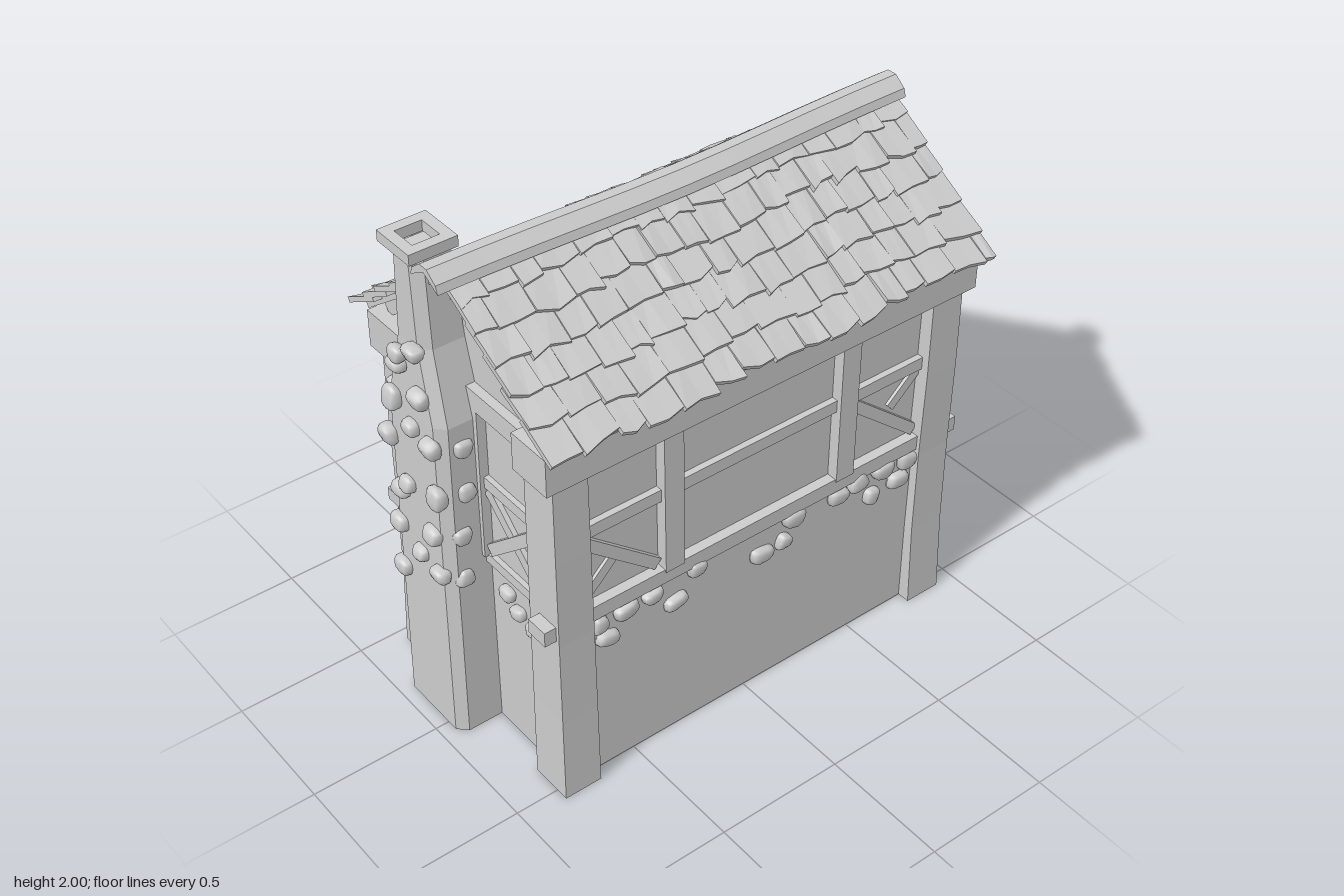
import * as THREE from 'three';
import { mergeGeometries } from 'three/addons/utils/BufferGeometryUtils.js';

const flat = new THREE.MeshStandardMaterial({ color: 0xcccccc, flatShading: true, side: THREE.DoubleSide });
const smooth = new THREE.MeshStandardMaterial({ color: 0xcccccc });

let seed = 7;
const rnd = () => (seed = (seed * 16807) % 2147483647) / 2147483647;
const jit = (a) => (rnd() * 2 - 1) * a;

function add(parent, name, geo, mat = flat) {
  const m = new THREE.Mesh(geo, mat);
  m.name = name;
  parent.add(m);
  return m;
}

// Box given by its limits
function box(parent, name, x0, x1, y0, y1, z0, z1) {
  const g = new THREE.BoxGeometry(x1 - x0, y1 - y0, z1 - z0);
  g.translate((x0 + x1) / 2, (y0 + y1) / 2, (z0 + z1) / 2);
  return add(parent, name, g);
}

// Timber lying on a wall, from (u0,v0) to (u1,v1) in wall coordinates
function bar(wall, name, u0, v0, u1, v1, width = 0.05, depth = 0.03) {
  const len = Math.hypot(u1 - u0, v1 - v0);
  const m = add(wall, name, new THREE.BoxGeometry(len, width, depth + 0.02));
  m.position.set((u0 + u1) / 2, (v0 + v1) / 2, depth / 2 - 0.01);
  m.rotation.z = Math.atan2(v1 - v0, u1 - u0);
}

// Rounded, slightly irregular field stone
function stone(parent, x, y, z, sx, sy, sz) {
  const g = new THREE.SphereGeometry(1, 10, 8);
  const p = g.attributes.position;
  const k = [jit(0.25), jit(0.25), jit(0.2)];
  const f = (v) => Math.sign(v) * Math.pow(Math.abs(v), 0.7);
  for (let i = 0; i < p.count; i++) {
    const a = f(p.getX(i)), b = f(p.getY(i)), c = f(p.getZ(i));
    p.setXYZ(i, a * (1 + k[0] * b), b * (1 + k[1] * a), c * (1 + k[2] * b));
  }
  g.scale(sx, sy, sz);
  g.computeVertexNormals();
  const m = add(parent, 'stone', g, smooth);
  m.position.set(x, y, z);
  m.rotation.z = jit(0.25);
}

function rectHole(shape, x0, x1, y0, y1) {
  const h = new THREE.Path();
  h.moveTo(x0, y0).lineTo(x0, y1).lineTo(x1, y1).lineTo(x1, y0).closePath();
  shape.holes.push(h);
}

// Thin wall panel in its own group; local +z points outward
function makeWall(parent, name, pts, pos, rotY, holes = []) {
  const wall = new THREE.Group();
  wall.name = name;
  wall.position.set(...pos);
  wall.rotation.y = rotY;
  const s = new THREE.Shape(pts.map((p) => new THREE.Vector2(...p)));
  holes.forEach((h) => rectHole(s, ...h));
  add(wall, 'plaster', new THREE.ShapeGeometry(s));
  parent.add(wall);
  return wall;
}

// Slightly crooked corner post, open at the ends
function post(parent, x0, x1, z0, z1, sx, sz) {
  const g = new THREE.CylinderGeometry(Math.SQRT1_2, Math.SQRT1_2, 1.4, 4, 4, true);
  g.rotateY(Math.PI / 4);
  g.scale(x1 - x0, 1, z1 - z0);
  const p = g.attributes.position;
  for (let i = 0; i < p.count; i++) {
    const t = (p.getY(i) + 0.7) / 1.4;
    const k = 1 - 0.1 * t;
    p.setX(i, p.getX(i) * k - sx * 0.004 * Math.sin(t * 5));
    p.setZ(i, p.getZ(i) * k - sz * (0.015 * t + 0.006 * Math.sin(t * 5)));
  }
  g.translate((x0 + x1) / 2, 0.7, (z0 + z1) / 2);
  add(parent, 'cornerPost', g);
}

// Irregular shingles on one slope; local z runs down the slope
function shingles() {
  const parts = [];
  const rows = 6, step = 0.114, L = 0.68;
  for (let r = 0; r < rows; r++) {
    let x = -0.925;
    while (x < 0.92) {
      let w = 0.08 + rnd() * 0.07;
      if (x + w > 0.88) w = 0.925 - x;
      const low = L - r * step + 0.012 * Math.sin(x * 9 + r * 0.4);
      const len = Math.min(0.17, low);
      const g = new THREE.BoxGeometry(w - 0.002, 0.02, len, 2, 1, 1);
      const p = g.attributes.position;
      const e = [jit(0.016), jit(0.01), jit(0.016)];
      const lift = [jit(0.005), jit(0.003), jit(0.005)];
      for (let i = 0; i < p.count; i++) {
        const c = Math.round(p.getX(i) / w * 2) + 1;
        if (p.getZ(i) > 0) p.setXYZ(i, p.getX(i), p.getY(i) + lift[c], p.getZ(i) + e[c]);
      }
      g.rotateX(-0.13 + jit(0.02));
      g.rotateY(jit(0.025));
      g.translate(x + w / 2, 0.017 + jit(0.004), low - len / 2);
      parts.push(g);
      x += w;
    }
  }
  return mergeGeometries(parts);
}

// Chimney body from chamfered sections [y, x0, x1, z0, z1]
function chimneyBody(secs) {
  const pos = [], idx = [];
  secs.forEach(([y, x0, x1, z0, z1]) => {
    const c = 0.035;
    [[x1, z0], [x1, z1], [x0 + c, z1], [x0, z1 - c], [x0, z0 + c], [x0 + c, z0]]
      .forEach(([x, z]) => pos.push(x, y, z));
  });
  for (let s = 0; s < secs.length - 1; s++) for (let i = 0; i < 6; i++) {
    const a = s * 6 + i, b = s * 6 + (i + 1) % 6;
    idx.push(a, b, b + 6, a, b + 6, a + 6);
  }
  const g = new THREE.BufferGeometry();
  g.setAttribute('position', new THREE.Float32BufferAttribute(pos, 3));
  g.setIndex(idx);
  g.computeVertexNormals();
  return g;
}

export function createModel() {
  const house = new THREE.Group();
  house.name = 'house';

  // Walls: front, back with door and windows, two gables
  const rect = (a, b) => [[a, 0], [b, 0], [b, 1.42], [a, 1.42]];
  const gable = (c) => [[c - 0.44, 0], [c + 0.44, 0], [c + 0.44, 1.55], [c, 1.875], [c - 0.44, 1.55]];
  const front = makeWall(house, 'frontWall', rect(-0.77, 0.86), [0, 0, 0.48], 0);
  const windows = [[-0.55, -0.41], [0.32, 0.46]];
  const back = makeWall(house, 'backWall', rect(-0.86, 0.77), [0, 0, -0.38], Math.PI,
    [[-0.13, 0.07, 0.76, 1.36], ...windows.map(([a, b]) => [a, b, 0.96, 1.2])]);
  const sideR = makeWall(house, 'leftGable', gable(-0.05), [0.86, 0, 0], Math.PI / 2);
  const sideL = makeWall(house, 'rightGable', gable(0.05), [-0.77, 0, 0], -Math.PI / 2);

  // Stone-plinth faces below the sill
  box(front, 'lowerWall', -0.77, 0.86, 0, 0.74, 0.01, 0.02);
  box(back, 'lowerWall', -0.86, 0.77, 0, 0.74, 0.01, 0.02);

  // Corner posts, wall plates and projecting sills
  for (const [x0, x1, sx] of [[-0.83, -0.68, -1], [0.77, 0.92, 1]]) {
    post(house, x0, x1, 0.38, 0.55, sx, 1);
    post(house, x0, x1, -0.45, -0.28, sx, -1);
  }
  box(house, 'frontPlate', -0.86, 0.96, 1.365, 1.51, 0.37, 0.55);
  box(house, 'backPlate', -0.86, 0.96, 1.365, 1.51, -0.45, -0.26);
  box(house, 'frontSill', -0.87, 0.96, 0.72, 0.78, 0.43, 0.52);
  box(house, 'backSill', -0.87, 0.96, 0.73, 0.78, -0.41, -0.33);

  // Front framing
  bar(front, 'stud', -0.335, 0.77, -0.345, 1.38, 0.08, 0.045);
  bar(front, 'stud', 0.42, 0.77, 0.42, 1.38, 0.08, 0.045);
  bar(front, 'rail', -0.72, 1.095, 0.8, 1.095, 0.05, 0.025);
  bar(front, 'brace', -0.69, 1.05, -0.39, 0.8, 0.045, 0.02);
  bar(front, 'brace', -0.69, 0.8, -0.56, 0.93, 0.04, 0.012);
  bar(front, 'brace', 0.47, 1.05, 0.77, 0.8, 0.045, 0.02);
  bar(front, 'brace', 0.65, 0.95, 0.77, 1.06, 0.04, 0.012);

  // Gable framing: rails, studs, crossed braces and rafters
  for (const [w, c] of [[sideR, -0.05], [sideL, 0.05]]) {
    bar(w, 'sideSill', c - 0.36, 0.755, c + 0.36, 0.755, 0.04, 0.02);
    bar(w, 'rail', c - 0.36, 1.09, c + 0.36, 1.09, 0.045, 0.02);
    bar(w, 'tieBeam', c - 0.4, 1.425, c + 0.4, 1.425, 0.08, 0.035);
    bar(w, 'stud', c, 0.77, c, 1.4, 0.08, 0.035);
    for (const s of [-1, 1]) {
      bar(w, 'brace', c + s * 0.05, 0.8, c + s * 0.34, 1.06, 0.045, 0.022);
      bar(w, 'brace', c + s * 0.05, 1.06, c + s * 0.34, 0.8, 0.045, 0.018);
      bar(w, 'gableRafter', c + s * 0.46, 1.525, c, 1.86, 0.07, 0.04);
    }
  }

  // Back framing, barred windows and recessed door
  for (const [a, b, n] of [[-0.78, -0.2, 4], [0.14, 0.7, 4]]) {
    bar(back, 'rail', a, 0.91, b, 0.91, 0.04, 0.03);
    bar(back, 'rail', a, 1.23, b, 1.23, 0.04, 0.03);
    for (let i = 0; i <= n; i++) {
      const u = a + ((b - a) * i) / n;
      bar(back, 'shortStud', u, 0.78, u, 0.91, 0.035, 0.025);
      bar(back, 'shortStud', u, 1.23, u, 1.38, 0.035, 0.025);
    }
    bar(back, 'brace', a, 0.95, a + 0.14, 1.1, 0.035, 0.012);
    bar(back, 'brace', b, 0.95, b - 0.1, 1.08, 0.035, 0.012);
  }
  for (const [a, b] of windows) {
    for (const u of [a - 0.015, b + 0.015]) bar(back, 'windowJamb', u, 0.92, u, 1.22, 0.03, 0.02);
    for (let i = 1; i < 4; i++) bar(back, 'windowBar', a + (b - a) * i / 4, 0.96, a + (b - a) * i / 4, 1.2, 0.012, 0);
    for (let i = 1; i < 5; i++) bar(back, 'windowBar', a, 0.96 + 0.048 * i, b, 0.96 + 0.048 * i, 0.012, 0);
    box(back, 'windowPane', a - 0.02, b + 0.02, 0.94, 1.22, -0.06, -0.05);
  }
  bar(back, 'doorPost', -0.165, 0.76, -0.165, 1.4, 0.09, 0.06);
  bar(back, 'doorPost', 0.1, 0.76, 0.1, 1.4, 0.08, 0.06);
  box(back, 'door', -0.14, 0.08, 0.74, 1.38, -0.12, -0.1);
  box(back, 'threshold', -0.14, 0.08, 0.74, 0.765, -0.11, 0.04);
  for (const x of [-0.14, 0.06]) box(back, 'doorReveal', x, x + 0.02, 0.76, 1.38, -0.11, 0.01);

  // Steps on tall stilts
  for (const [y, z0, z1] of [[0.74, -0.52, -0.42], [0.695, -0.57, -0.49], [0.645, -0.62, -0.565]])
    box(house, 'stepTread', -0.09, 0.19, y - 0.03, y, z0, z1);
  for (const [z, h] of [[-0.46, 0.72], [-0.495, 0.72], [-0.55, 0.67], [-0.598, 0.62]])
    for (const x of [-0.055, 0.155]) box(house, 'stepLeg', x - 0.018, x + 0.018, 0, h, z - 0.016, z + 0.016);

  // Stones under the sills
  const F = [[-0.64, 0.68], [-0.61, 0.6], [-0.53, 0.68], [-0.42, 0.68], [-0.32, 0.6], [-0.23, 0.7], [0.06, 0.6],
    [0.16, 0.61], [0.2, 0.69], [0.41, 0.68], [0.5, 0.7], [0.57, 0.6], [0.62, 0.69], [0.7, 0.61], [0.74, 0.68]];
  for (const [x, y] of F) {
    stone(front, x, y, 0.025, 0.032 + rnd() * 0.02, 0.026 + rnd() * 0.012, 0.028);
    stone(back, x - 0.04, y, 0.025, 0.032 + rnd() * 0.02, 0.026 + rnd() * 0.012, 0.028);
  }
  const S = [[0.36, 0.73], [0.33, 0.6], [0.24, 0.61], [0.18, 0.66], [0.1, 0.6], [0.1, 0.74], [0.01, 0.67],
    [-0.08, 0.58], [-0.14, 0.7], [-0.25, 0.72], [-0.26, 0.64], [-0.25, 0.58]];
  for (const [z, y] of S) {
    stone(sideR, -z, y, 0.01, 0.026 + rnd() * 0.018, 0.02 + rnd() * 0.01, 0.025);
    if (z > 0.12) stone(sideL, z, y, 0.01, 0.036, 0.026, 0.025);
  }

  // Roof: boards and shingles on both slopes
  for (const s of [1, -1]) {
    const turn = new THREE.Group();
    turn.name = s > 0 ? 'frontSlope' : 'backSlope';
    turn.position.set(0.045, 1.91, 0.05);
    turn.rotation.y = s > 0 ? 0 : Math.PI;
    const slope = new THREE.Group();
    slope.rotation.x = 0.64;
    turn.add(slope);
    box(slope, 'roofBoards', -0.89, 0.89, -0.02, 0.005, 0, 0.655);
    add(slope, 'shingles', shingles());
    house.add(turn);
  }

  // Slightly sagging ridge cap
  const cap = new THREE.Shape([[-0.075, -0.06], [-0.065, -0.03], [-0.02, 0.005], [0.02, 0.005], [0.065, -0.03], [0.075, -0.06], [0, -0.015]]
    .map((p) => new THREE.Vector2(...p)));
  const ridge = new THREE.ExtrudeGeometry(cap, { depth: 1.915, steps: 10, bevelEnabled: false });
  ridge.rotateY(Math.PI / 2);
  const rp = ridge.attributes.position;
  for (let i = 0; i < rp.count; i++) {
    const t = rp.getX(i) / 1.915 * 2 - 1;
    rp.setY(i, rp.getY(i) + 0.01 * t * t);
    rp.setZ(i, rp.getZ(i) + 0.008 * Math.cos(t * 4));
  }
  add(house, 'ridgeCap', ridge).position.set(-0.93, 1.96, 0.05);

  // Chimney with hollow cap and scattered stones
  const chimney = new THREE.Group();
  chimney.name = 'chimney';
  add(chimney, 'chimneyStack', chimneyBody([[0, -0.945, -0.74, -0.26, 0.08], [1.35, -0.935, -0.74, -0.25, 0.07],
    [1.62, -0.925, -0.77, -0.18, 0], [1.97, -0.925, -0.79, -0.165, -0.015]]));
  const top = new THREE.Shape([[-0.09, -0.09], [0.09, -0.09], [0.09, 0.09], [-0.09, 0.09]].map((p) => new THREE.Vector2(...p)));
  rectHole(top, -0.05, 0.05, -0.05, 0.05);
  const capGeo = new THREE.ExtrudeGeometry(top, { depth: 0.04, bevelEnabled: false });
  capGeo.rotateX(-Math.PI / 2);
  add(chimney, 'chimneyCap', capGeo).position.set(-0.86, 1.96, -0.09);
  box(chimney, 'flueFloor', -0.92, -0.8, 1.93, 1.95, -0.15, -0.03);
  for (let i = 0; i < 12; i++) {
    const y = 0.62 + i * 0.09;
    const k = y > 1.4 ? 0.05 : 0.12;
    stone(chimney, -0.945, y + jit(0.02), -0.09 + (i % 2 ? k : -k) + jit(0.03), 0.03, 0.034 + jit(0.01), 0.042);
    if (i % 3 === 1) stone(chimney, -0.945, y + 0.04, -0.1 + jit(0.04), 0.028, 0.03, 0.036);
    if (y < 1.4 && i % 2) stone(chimney, -0.85 + jit(0.03), y, 0.07, 0.034, 0.034, 0.025);
    else if (y < 1.4) stone(chimney, -0.86 + jit(0.03), y, -0.25, 0.034, 0.034, 0.025);
  }
  for (const y of [1.78, 1.87, 1.92]) {
    stone(chimney, -0.79, y, -0.09 + jit(0.05), 0.02, 0.025, 0.03);
    stone(chimney, -0.86, y, -0.165, 0.03, 0.025, 0.015);
  }
  house.add(chimney);
  return house;
}
